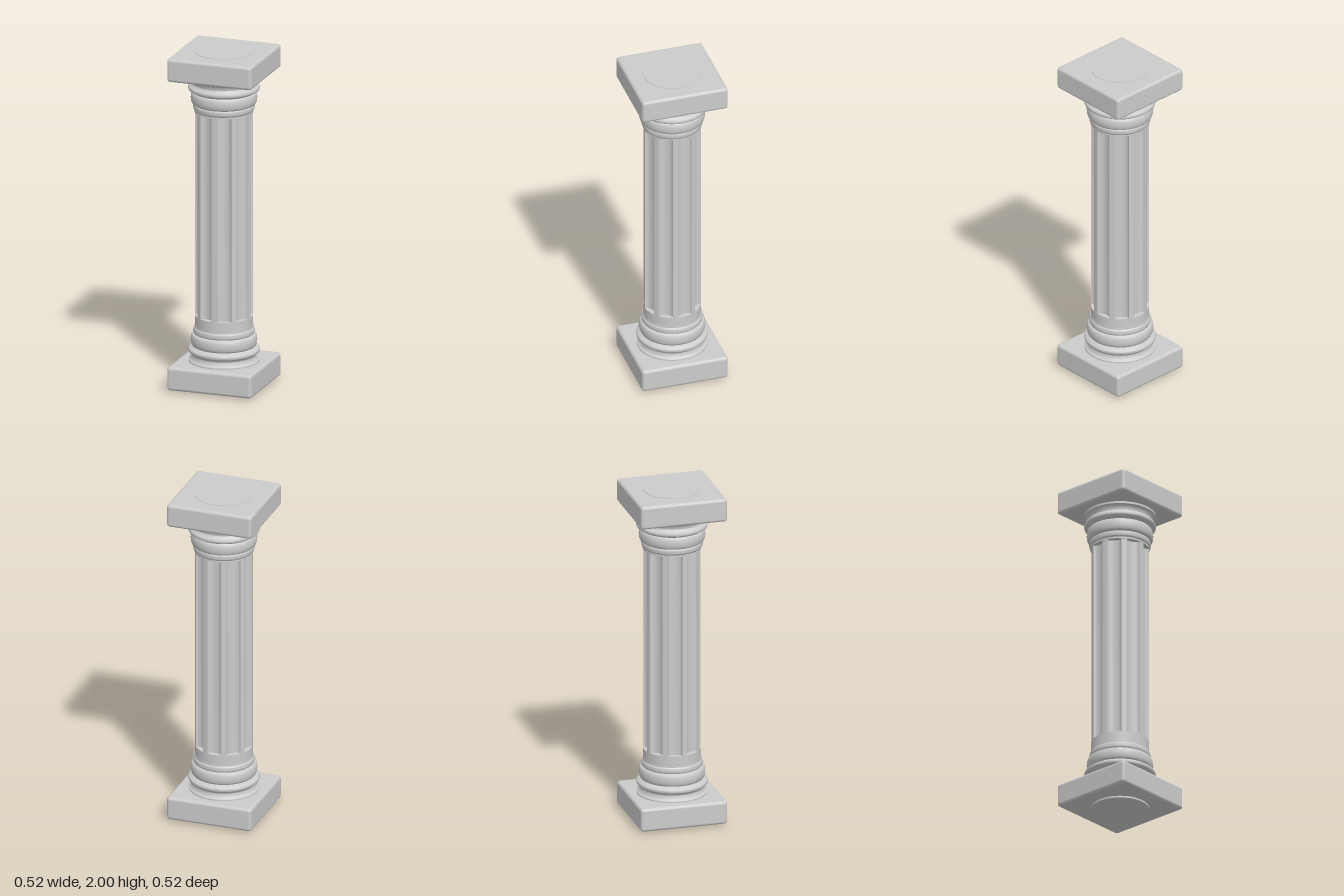
import * as THREE from 'three';
import { RoundedBoxGeometry } from 'three/addons/geometries/RoundedBoxGeometry.js';
import { toCreasedNormals } from 'three/addons/utils/BufferGeometryUtils.js';

const R = 0.167, FLUTES = 9, SHAFT_BOTTOM = 0.42, SHAFT_TOP = 1.64;
const material = new THREE.MeshStandardMaterial({ color: 0xcccccc });

function add(parent, name, geometry, y = 0) {
  const mesh = new THREE.Mesh(geometry, material);
  mesh.name = name;
  mesh.position.y = y;
  parent.add(mesh);
  return mesh;
}

// Points of a convex moulding from (r, y0) to (r, y1), bulging outward
function bulge(r, y0, y1, out, n = 10) {
  return Array.from({ length: n + 1 }, (_, i) => {
    const t = (i / n) * Math.PI;
    return [r + out * Math.sin(t), (y0 + y1) / 2 - ((y1 - y0) / 2) * Math.cos(t)];
  });
}

// Fluted shaft: narrow ribs on the full radius, shallow round hollows between
function shaftGeometry() {
  const step = (Math.PI * 2) / FLUTES, halfRib = 0.095, depth = 0.024;
  const points = [];
  for (let k = 0; k < FLUTES; k++) {
    const a = -Math.PI / 2 + k * step;
    for (let i = 0; i < 4; i++) {
      const t = a - halfRib + (i / 4) * 2 * halfRib;
      points.push(new THREE.Vector2(R * Math.cos(t), R * Math.sin(t)));
    }
    // hollow: half ellipse sunk below the chord
    const mid = a + step / 2, w = step / 2 - halfRib;
    const chord = R * Math.cos(w), half = R * Math.sin(w);
    for (let i = 0; i < 14; i++) {
      const u = (i / 14) * Math.PI;
      const r = chord - depth * Math.sin(u), s = -half * Math.cos(u);
      points.push(new THREE.Vector2(
        r * Math.cos(mid) - s * Math.sin(mid), r * Math.sin(mid) + s * Math.cos(mid)));
    }
  }
  const g = new THREE.ExtrudeGeometry(new THREE.Shape(points),
    { depth: SHAFT_TOP - SHAFT_BOTTOM, bevelEnabled: false });
  g.rotateX(-Math.PI / 2);
  return toCreasedNormals(g, 0.6);
}

// Turned mouldings, from the plinth up to the neck
function mouldingGeometry() {
  const profile = [
    [0.16, 0.145], [0.205, 0.145], [0.205, 0.157], [0.193, 0.163],
    [0.186, 0.175], [0.185, 0.188], [0.192, 0.2],
    ...bulge(0.2, 0.204, 0.228, 0.006, 6),
    [0.188, 0.236],
    ...bulge(0.178, 0.24, 0.312, 0.013),
    ...bulge(0.172, 0.315, 0.348, 0.005, 6),
    [0.169, 0.352], [0.169, 0.362], [0.16, 0.362],
  ].map(([r, y]) => new THREE.Vector2(r, y));
  return toCreasedNormals(new THREE.LatheGeometry(profile, 64), 0.6);
}

export function createModel() {
  const model = new THREE.Group();
  model.name = 'column';

  add(model, 'flutedShaft', shaftGeometry(), SHAFT_BOTTOM);

  // Plain drums run through both blocks and stand slightly proud of them
  const drum = (name, y0, y1) =>
    add(model, name, new THREE.CylinderGeometry(R, R, y1 - y0, 64), (y0 + y1) / 2);
  drum('lowerDrum', 0, SHAFT_BOTTOM);
  drum('upperDrum', SHAFT_TOP, 2);

  // Square blocks
  const block = new RoundedBoxGeometry(0.516, 0.139, 0.516, 4, 0.018);
  add(model, 'plinth', block, 0.08);
  add(model, 'abacus', block, 1.928);

  // Base mouldings, and the same turned over for the capital
  const moulding = mouldingGeometry();
  add(model, 'baseMouldings', moulding);
  add(model, 'capitalMouldings', moulding, 2.002).rotation.x = Math.PI;

  return model;
}
